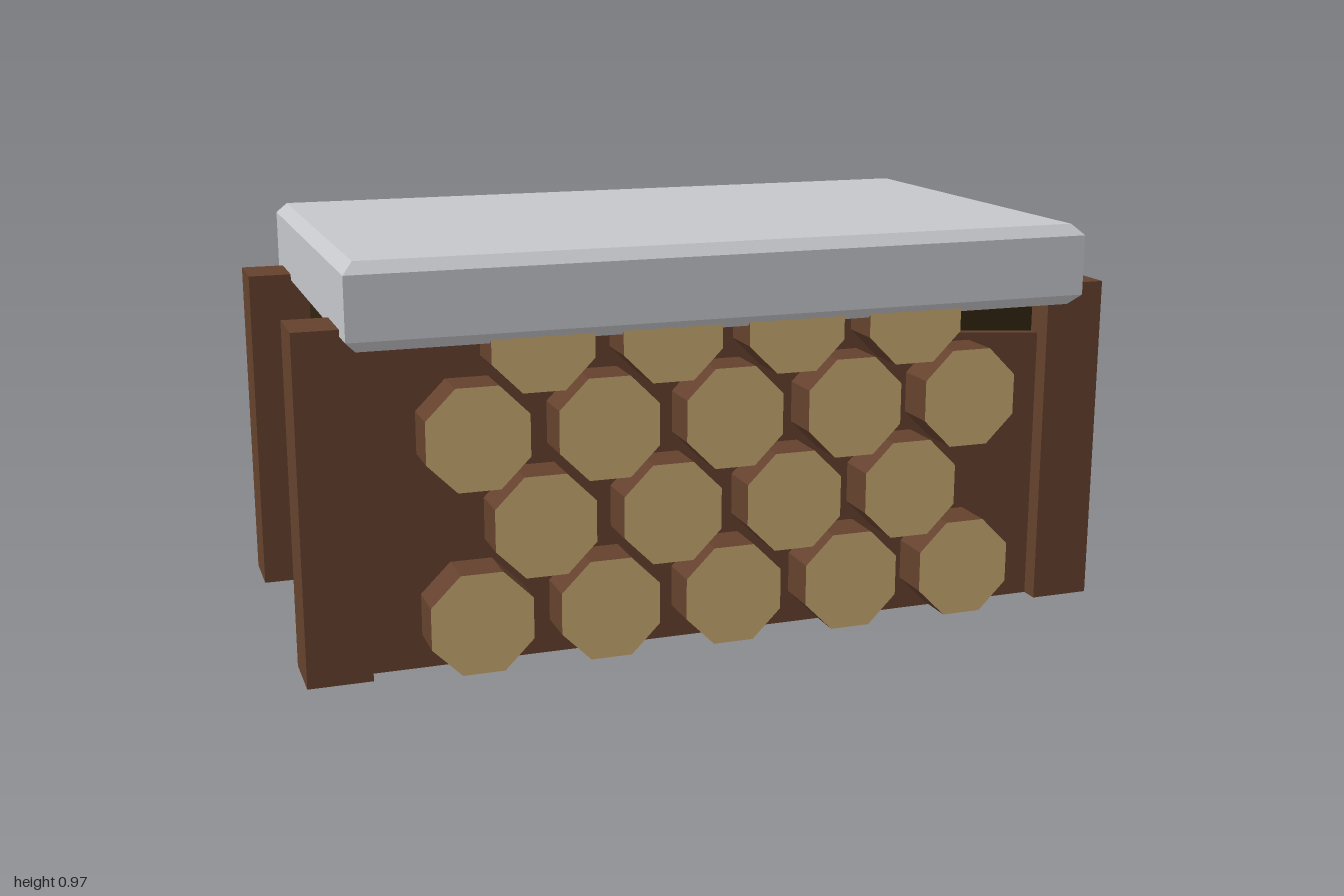
import * as THREE from 'three';

const material = (name, color) => {
  const m = new THREE.MeshStandardMaterial({ color });
  m.name = name;
  return m;
};

export function createModel() {
  const wood = material('brown wood', 0x64412d);
  const cutWood = material('cut log end', 0xc9a972);
  const dark = material('dark interior', 0x302410);
  const stone = material('grey lid', 0xc5c6ca);

  const model = new THREE.Group();
  model.name = 'firewoodStore';

  const add = (name, geometry, mat, x = 0, y = 0, z = 0) => {
    const mesh = new THREE.Mesh(geometry, mat);
    mesh.name = name;
    mesh.position.set(x, y, z);
    model.add(mesh);
    return mesh;
  };

  // Dark core showing at both ends, with a wooden floor underneath
  add('core', new THREE.BoxGeometry(1.7, 0.79, 0.76), dark, 0, 0.4, 0);
  add('floor', new THREE.BoxGeometry(1.7, 0.005, 0.76), wood, 0, 0.0025, 0);

  // Front and back walls, each with a gap in its upper corner
  const outline = new THREE.Shape([
    [-0.85, 0], [0.85, 0], [0.85, 0.685], [0.62, 0.7], [0.55, 0.73], [0.55, 0.79], [-0.85, 0.79],
  ].map(([x, y]) => new THREE.Vector2(x, y)));
  const wallGeometry = new THREE.ExtrudeGeometry(outline, { depth: 0.03, bevelEnabled: false });
  wallGeometry.translate(0, 0, 0.38);
  add('frontWall', wallGeometry, wood);
  add('backWall', wallGeometry, wood).rotation.y = Math.PI;

  // Four corner posts
  const postGeometry = new THREE.BoxGeometry(0.15, 0.815, 0.15);
  for (const x of [-0.925, 0.925]) {
    for (const z of [-0.38, 0.38]) add('post', postGeometry, wood, x, 0.4075, z);
  }

  // Staggered octagonal logs running from front to back
  const radius = 0.119 / Math.cos(Math.PI / 8);
  const logGeometry = new THREE.CylinderGeometry(radius, radius, 1.034, 8, 1, false, Math.PI / 8)
    .rotateX(Math.PI / 2).toNonIndexed();
  logGeometry.computeVertexNormals();
  for (let row = 0; row < 4; row++) {
    const count = row % 2 ? 4 : 5;
    for (let i = 0; i < count; i++) {
      const x = (i - (count - 1) / 2) * 0.304;
      add('log', logGeometry, [wood, cutWood, cutWood], x, 0.13 + row * 0.2155, 0);
    }
  }

  // Lid with chamfered top and bottom edges
  const lidShape = new THREE.Shape([
    [-0.87, -0.508], [0.87, -0.508], [0.87, 0.508], [-0.87, 0.508],
  ].map(([x, y]) => new THREE.Vector2(x, y)));
  const lidGeometry = new THREE.ExtrudeGeometry(lidShape, {
    depth: 0.145, bevelThickness: 0.026, bevelSize: 0.025, bevelSegments: 1,
  });
  lidGeometry.rotateX(-Math.PI / 2);
  add('lid', lidGeometry, stone, 0, 0.8, 0);

  return model;
}
